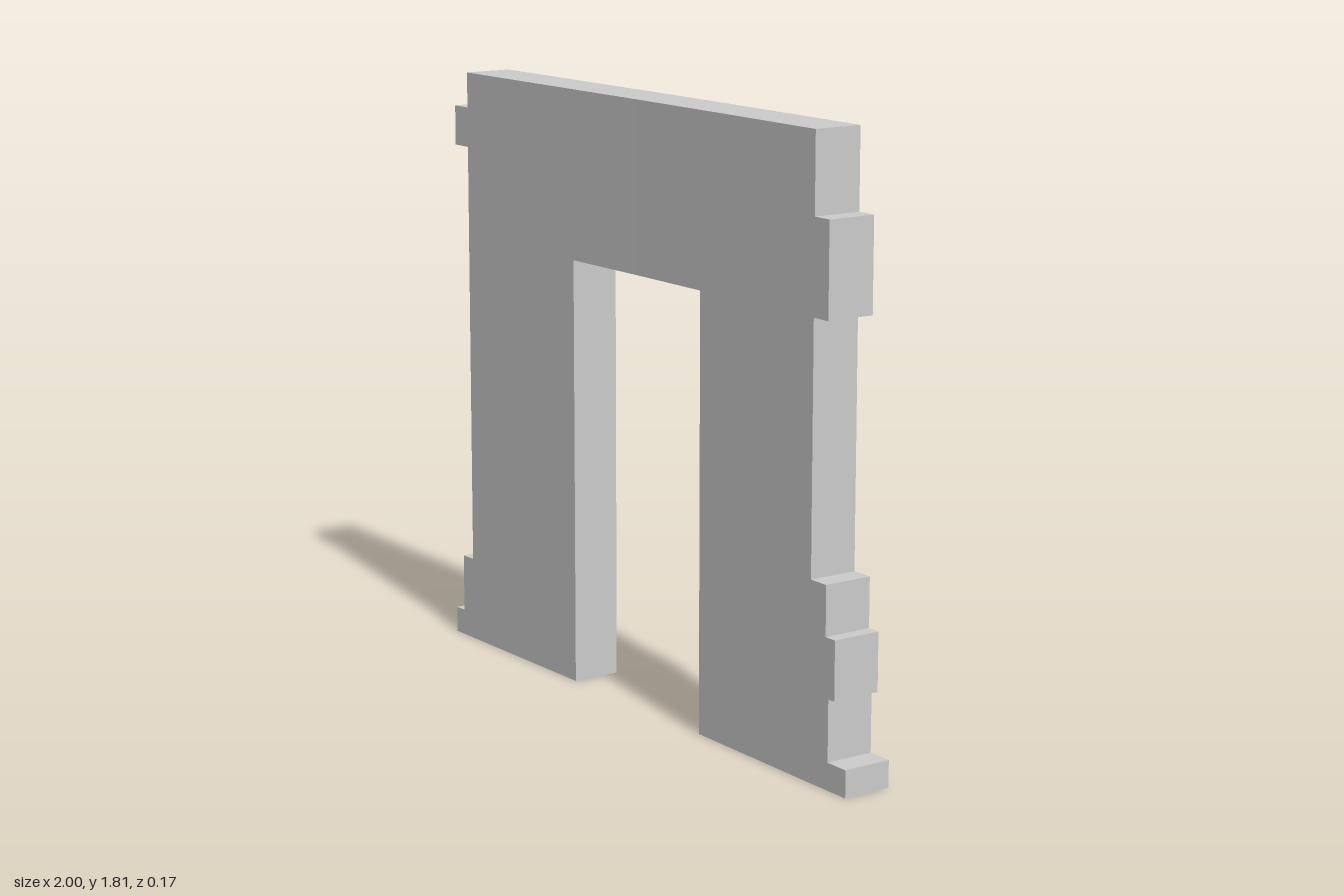
import * as THREE from 'three';

const HEIGHT = 1.805, THICK = 0.152;

// Gentle curve of the wall in plan: [x, z of the wall's middle]
const PLAN = [[-1, -0.01], [0, -0.01], [0.31, -0.006], [0.835, 0.005], [1, 0.007]];

function planZ(x) {
  for (let i = 1; i < PLAN.length; i++) {
    const [x0, z0] = PLAN[i - 1], [x1, z1] = PLAN[i];
    if (x <= x1) return THREE.MathUtils.mapLinear(x, x0, x1, z0, z1);
  }
  return PLAN[PLAN.length - 1][1];
}

export function createModel() {
  const group = new THREE.Group();
  const material = new THREE.MeshStandardMaterial({ color: 0xcccccc, flatShading: true });

  // A block of masonry between two corners, following the curve of the wall
  function block(name, x0, x1, y0, y1, segments = 1) {
    const geo = new THREE.BoxGeometry(x1 - x0, y1 - y0, THICK, segments, 1, 1);
    geo.translate((x0 + x1) / 2, (y0 + y1) / 2, 0);
    const p = geo.attributes.position;
    for (let i = 0; i < p.count; i++) p.setZ(i, p.getZ(i) + planZ(p.getX(i)));
    geo.computeVertexNormals();
    const mesh = new THREE.Mesh(geo, material);
    mesh.name = name;
    group.add(mesh);
  }

  // Wall on both sides of the doorway, and the span above it
  block('rightPier', -0.902, -0.325, 0, HEIGHT);
  block('lintel', -0.325, 0.311, 1.298, HEIGHT, 2);
  block('leftPier', 0.311, 0.835, 0, HEIGHT);

  // Projecting stones on the outer edges: [outer x, bottom, top]
  const rightStones = [[-1, 0, 0.08], [-0.957, 0.08, 0.26], [-0.973, 1.575, 1.697]];
  const leftStones = [
    [0.996, 0, 0.08], [0.917, 0.08, 0.26], [0.943, 0.26, 0.432],
    [0.902, 0.432, 0.578], [0.898, 1.3, 1.572],
  ];
  rightStones.forEach(([x, y0, y1], i) => block(`rightEdgeStone${i + 1}`, x, -0.902, y0, y1));
  leftStones.forEach(([x, y0, y1], i) => block(`leftEdgeStone${i + 1}`, 0.835, x, y0, y1));

  return group;
}
